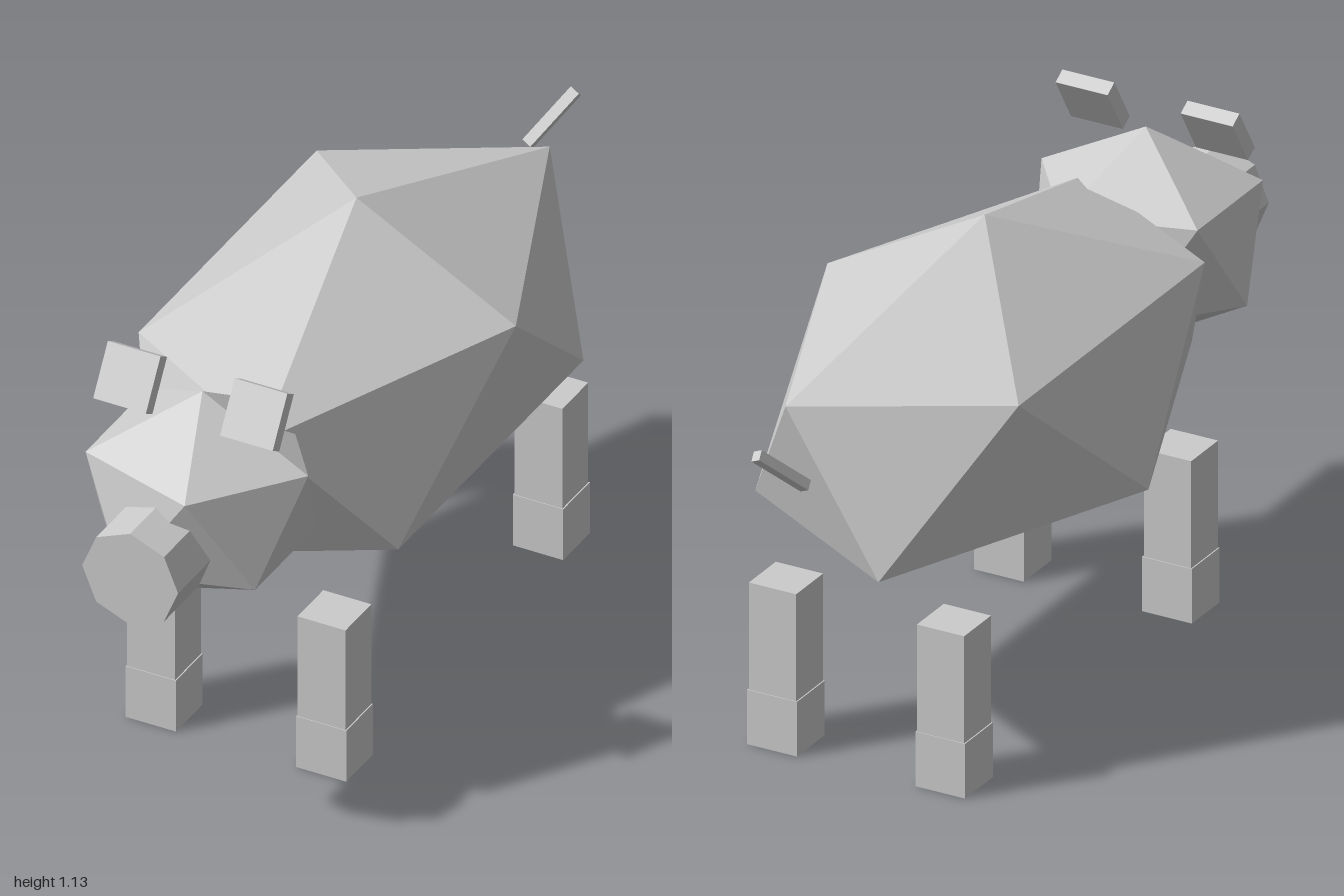
import * as THREE from 'three';

const grey = new THREE.MeshStandardMaterial({ color: 0xcccccc, flatShading: true });
grey.name = 'plain grey';

function add(parent, name, geometry, x = 0, y = 0, z = 0) {
  const mesh = new THREE.Mesh(geometry, grey);
  mesh.name = name;
  mesh.position.set(x, y, z);
  parent.add(mesh);
  return mesh;
}

// Twenty-sided solid: two poles and two staggered rings of five points.
// Each ring is { y, rx, rz }.
function facetedBall(topY, upper, lower, bottomY) {
  const ring = ({ y, rx, rz }, turn) => Array.from({ length: 5 }, (_, i) => {
    const a = (i * 72 + turn) * Math.PI / 180;
    return [Math.cos(a) * rx, y, Math.sin(a) * rz];
  });
  const U = ring(upper, 0), L = ring(lower, 36);
  const top = [0, topY, 0], bottom = [0, bottomY, 0];
  const points = [];
  for (let i = 0; i < 5; i++) {
    const j = (i + 1) % 5;
    points.push(top, U[j], U[i], U[i], U[j], L[i]);
    points.push(L[i], U[j], L[j], L[i], L[j], bottom);
  }
  const geometry = new THREE.BufferGeometry();
  geometry.setAttribute('position', new THREE.Float32BufferAttribute(points.flat(), 3));
  geometry.computeVertexNormals();
  return geometry;
}

export function createModel() {
  const pig = new THREE.Group();
  pig.name = 'pig';
  const midX = 0.01;

  // Body and head
  add(pig, 'body', facetedBall(1.135,
    { y: 0.918, rx: 0.402, rz: 0.712 },
    { y: 0.556, rx: 0.419, rz: 0.741 }, 0.339), 0.007, 0, -0.07);
  add(pig, 'head', facetedBall(1.043,
    { y: 0.9, rx: 0.267, rz: 0.25 },
    { y: 0.662, rx: 0.259, rz: 0.243 }, 0.52), midX, 0, 0.66);

  // Snout, with a corner pointing up
  const snout = new THREE.CylinderGeometry(0.121, 0.121, 0.25, 8).rotateX(Math.PI / 2);
  add(pig, 'snout', snout, midX, 0.739, 0.875);

  for (const side of [-1, 1]) {
    // Ears lean backwards
    const ear = add(pig, side > 0 ? 'leftEar' : 'rightEar',
      new THREE.BoxGeometry(0.133, 0.132, 0.036), midX + side * 0.16, 1.054, 0.702);
    ear.rotation.x = -0.55;

    // Legs, each with a slightly wider hoof
    for (const [end, z] of [['front', 0.44], ['back', -0.58]]) {
      const leg = new THREE.Group();
      leg.name = end + (side > 0 ? 'LeftLeg' : 'RightLeg');
      leg.position.set(midX + side * 0.215, 0, z);
      add(leg, 'shin', new THREE.BoxGeometry(0.121, 0.265, 0.121), 0, 0.2675, 0);
      add(leg, 'hoof', new THREE.BoxGeometry(0.127, 0.135, 0.125), 0, 0.0675, 0);
      pig.add(leg);
    }
  }

  // Tail, slanting up, back and to one side
  const tail = add(pig, 'tail', new THREE.BoxGeometry(0.025, 0.16, 0.025), 0.037, 0.86, -0.932);
  tail.quaternion.setFromUnitVectors(new THREE.Vector3(0, 1, 0),
    new THREE.Vector3(0.072, 0.11, -0.112).normalize());

  return pig;
}
